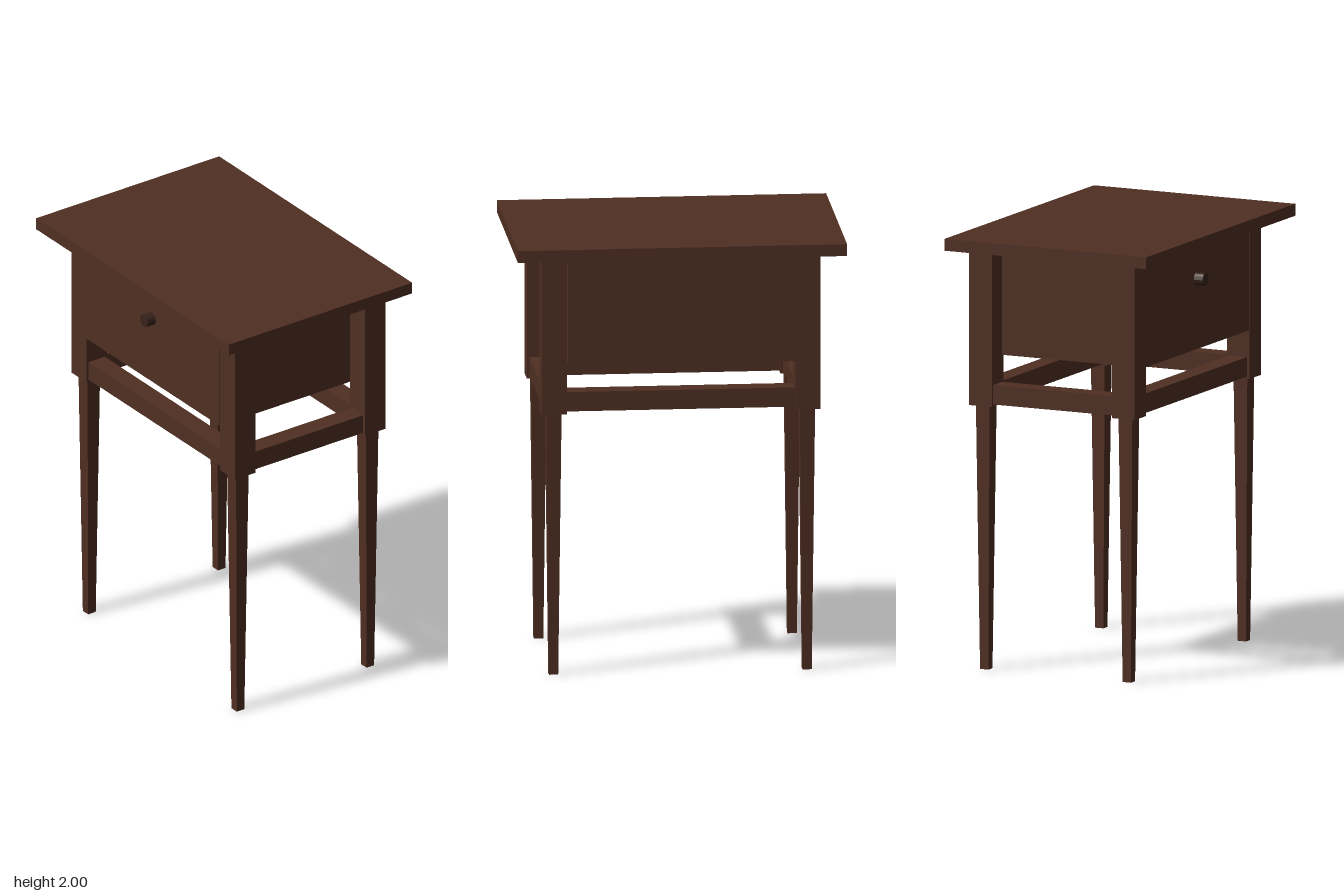
import * as THREE from 'three';

export function createModel() {
  const table = new THREE.Group();
  table.name = 'sideTable';
  const wood = new THREE.MeshStandardMaterial({ color: 0x502f22, flatShading: true });
  const darkWood = new THREE.MeshStandardMaterial({ color: 0x38221a, flatShading: true });

  const add = (name, geometry, x, y, z, material = wood) => {
    const mesh = new THREE.Mesh(geometry, material);
    mesh.name = name;
    mesh.position.set(x, y, z);
    table.add(mesh);
    return mesh;
  };
  // Box given by its lower and upper corners
  const box = (name, [x0, y0, z0], [x1, y1, z1]) =>
    add(name, new THREE.BoxGeometry(x1 - x0, y1 - y0, z1 - z0), (x0 + x1) / 2, (y0 + y1) / 2, (z0 + z1) / 2);

  const postX = 0.5775, postHalf = 0.0575;
  const frontZ = 0.3375, backZ = -0.3875;
  const postBottom = 1.22, underTop = 1.945;

  // Overhanging top
  box('tableTop', [-0.75, underTop, -0.512], [0.75, 2, 0.512]);

  // Drawer case, a little off centre so a slit remains beside the +x posts
  box('drawerCase', [-0.535, 1.445, backZ - postHalf], [0.515, underTop, frontZ + postHalf]);

  // Square corner posts on tapered legs
  const leg = new THREE.BoxGeometry(0.07, postBottom, 0.07);
  const p = leg.attributes.position;
  for (let i = 0; i < p.count; i++) {
    if (p.getY(i) < 0) p.setXYZ(i, p.getX(i) * 0.6, p.getY(i), p.getZ(i) * 0.6);
  }
  leg.computeVertexNormals();
  for (const [end, z] of [['front', frontZ], ['back', backZ]]) {
    for (const [side, x] of [['Left', postX], ['Right', -postX]]) {
      box(`${end}${side}Post`, [x - postHalf, postBottom, z - postHalf], [x + postHalf, underTop, z + postHalf]);
      add(`${end}${side}Leg`, leg, x, postBottom / 2, z);
    }
  }

  // Lower rails between the posts
  const r = 0.045, inner = postX - postHalf;
  for (const [name, z] of [['frontRail', frontZ], ['backRail', backZ]]) {
    box(name, [-inner, 1.23, z - r], [inner, 1.32, z + r]);
  }
  for (const [name, x] of [['leftRail', postX], ['rightRail', -postX]]) {
    box(name, [x - r, 1.23, backZ + postHalf], [x + r, 1.32, frontZ - postHalf]);
  }

  // Round drawer knob
  const knob = add('knob', new THREE.CylinderGeometry(0.03, 0.03, 0.045, 12), -0.01, 1.77, 0.4175, darkWood);
  knob.rotation.x = Math.PI / 2;

  return table;
}
